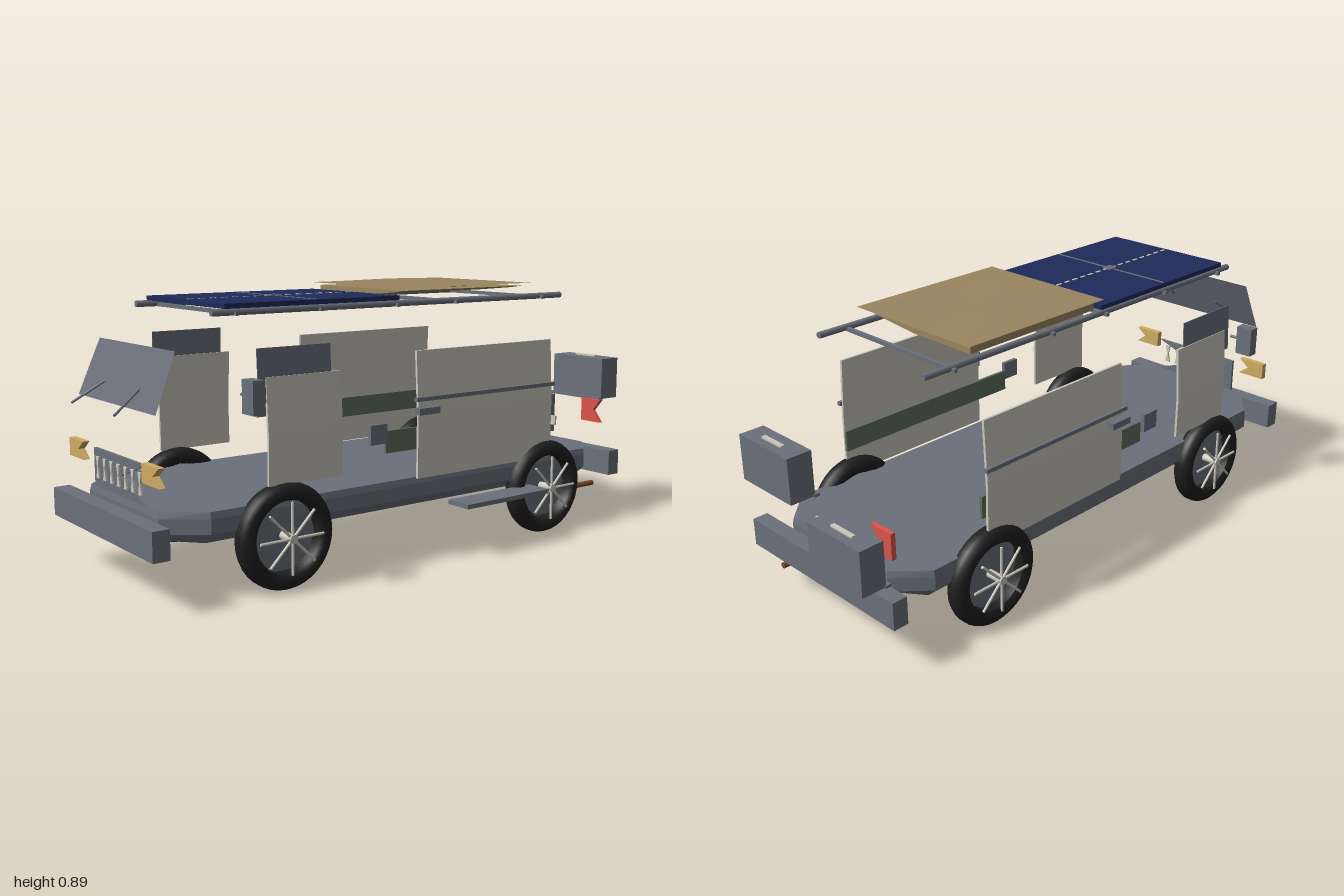
import * as THREE from 'three';
import { ConvexGeometry } from 'three/addons/geometries/ConvexGeometry.js';

const C = -0.016; // centre line of the van

export function createModel() {
  const root = new THREE.Group();
  root.name = 'explodedCamperVan';
  const mat = (name, color, side = THREE.FrontSide) => {
    const m = new THREE.MeshStandardMaterial({ color, side });
    m.name = name;
    return m;
  };
  const grey = mat('bodyGrey', 0x6a707a, THREE.DoubleSide);
  const beige = mat('panelBeige', 0xccc8bc, THREE.DoubleSide);
  const navy = mat('solarNavy', 0x1f2a5a);
  const tan = mat('roofTan', 0x9a8560, THREE.DoubleSide);
  const black = mat('tyreBlack', 0x1e1e1f);
  const amber = mat('lampAmber', 0xd0ab62);
  const red = mat('lampRed', 0xdb544b);
  const green = mat('trimGreen', 0x5d705c);
  const brown = mat('exhaustBrown', 0x7a4a28);

  const add = (name, geo, material, parent = root) => {
    const mesh = new THREE.Mesh(geo, material);
    mesh.name = name;
    parent.add(mesh);
    return mesh;
  };
  // box from its limits on each axis
  const box = (name, m, x0, x1, y0, y1, z0, z1, parent = root) => {
    const b = add(name, new THREE.BoxGeometry(Math.abs(x1 - x0), y1 - y0, z1 - z0), m, parent);
    b.position.set((x0 + x1) / 2, (y0 + y1) / 2, (z0 + z1) / 2);
    return b;
  };
  // round bar between two points
  const rod = (name, m, a, b, r, parent = root) => {
    const A = new THREE.Vector3(...a), B = new THREE.Vector3(...b);
    const bar = add(name, new THREE.CylinderGeometry(r, r, A.distanceTo(B), 10), m, parent);
    bar.position.copy(A).add(B).multiplyScalar(0.5);
    bar.quaternion.setFromUnitVectors(new THREE.Vector3(0, 1, 0), B.sub(A).normalize());
    return bar;
  };
  // flat outline in x and y, extruded from z0 to z1
  const plate = (name, m, pts, z0, z1) => {
    const shape = new THREE.Shape(pts.map(p => new THREE.Vector2(...p)));
    const geo = new THREE.ExtrudeGeometry(shape, { depth: z1 - z0, bevelEnabled: false });
    return add(name, geo.translate(0, 0, z0), m);
  };
  const notched = (x0, x1, y0, y1, notch) =>
    [[x0, y0], [x1, y0], [x1 - notch, (y0 + y1) / 2], [x1, y1], [x0, y1]];

  // floor pan: chamfered outline, narrowing underneath
  const ring = (y, inset) => {
    const w = 0.327 - inset, n = 0.232 - inset, f = 0.91 - inset, b = -0.87 + inset;
    return [[w, 0.79], [n, f], [-n, f], [-w, 0.79], [-w, -0.77], [-n, b], [n, b], [w, -0.77]]
      .map(([x, z]) => new THREE.Vector3(C + x, y, z));
  };
  add('floorPan', new ConvexGeometry([...ring(0.276, 0.004), ...ring(0.255, 0), ...ring(0.21, 0), ...ring(0.178, 0.035)]), grey);
  box('frontBumper', grey, -0.359, 0.327, 0.163, 0.254, 0.93, 0.985);
  box('rearBumper', grey, -0.359, 0.327, 0.163, 0.254, -0.942, -0.89);

  // wheels
  const tyre = new THREE.LatheGeometry([
    [0.113, -0.024], [0.128, -0.034], [0.147, -0.033], [0.16, -0.022], [0.165, -0.01],
    [0.165, 0.01], [0.16, 0.022], [0.147, 0.033], [0.128, 0.034], [0.113, 0.024], [0.113, -0.024],
  ].map(p => new THREE.Vector2(...p)), 36).rotateZ(-Math.PI / 2);
  for (const s of [-1, 1]) for (const z of [0.545, -0.551]) {
    const wheel = new THREE.Group();
    wheel.name = 'wheel';
    wheel.position.set(C + s * 0.332, 0.168, z);
    wheel.scale.x = 1;
    root.add(wheel);
    add('tyre', tyre, black, wheel);
    rod('rimDisc', grey, [-s * 0.015, 0, 0], [-s * 0.008, 0, 0], 0.114, wheel).rotation.set(0, 0, Math.PI / 2);
    rod('axleStub', beige, [-s * 0.05, 0, 0], [s * 0.054, 0, 0], 0.014, wheel);
    for (let i = 0; i < 8; i++) {
      const a = i * Math.PI / 4;
      rod('spoke', beige, [s * 0.045, 0, 0], [s * 0.045, 0.112 * Math.cos(a), 0.112 * Math.sin(a)], 0.0045, wheel);
    }
  }

  // body side skin with a fold at the waist, given as an x-y section run along z
  const skin = (name, s, y0, y1, z0, z1) => {
    const x = o => C + s * o;
    plate(name, beige, [[x(0.335), y0], [x(0.344), y0], [x(0.346), 0.48], [x(0.334), y1], [x(0.325), y1], [x(0.337), 0.48]], z0, z1);
  };
  for (const s of [-1, 1]) {
    const x = o => C + s * o;
    skin('sidePanel', s, 0.275, 0.69, -0.572, 0.037);
    skin('frontDoor', s, 0.327, 0.65, 0.337, 0.604);
    plate('doorWindow', grey, [[x(0.332), 0.575], [x(0.335), 0.575], [x(0.327), 0.735], [x(0.324), 0.735]], 0.37, 0.63);
    box('slidingRail', grey, x(0.341), x(0.354), 0.528, 0.541, -0.58, 0.05);
    box('panelHandle', grey, x(0.344), x(0.368), 0.486, 0.508, -0.035, 0.05);
    box('innerTrim', green, x(0.318), x(0.328), 0.37, 0.442, -0.58, 0.155);
    box('latchBlock', grey, x(0.326), x(0.34), 0.405, 0.468, 0.16, 0.225);
    box('doorMirror', grey, x(0.35), x(0.41), 0.555, 0.655, 0.658, 0.695);
    rod('mirrorArm', grey, [x(0.315), 0.605, 0.675], [x(0.352), 0.605, 0.675], 0.005);
  }
  box('sideStep', grey, 0.33, 0.425, 0.172, 0.187, -0.47, -0.095);

  // windscreen and wipers
  const glass = new THREE.BufferGeometry();
  glass.setAttribute('position', new THREE.Float32BufferAttribute([
    -0.278, 0.56, 0.922, 0.245, 0.56, 0.922, 0.233, 0.735, 0.85, -0.265, 0.735, 0.85], 3));
  glass.setIndex([0, 1, 2, 0, 2, 3]);
  glass.computeVertexNormals();
  add('windscreen', glass, grey);
  for (const s of [-1, 1])
    rod('wiper', grey, [C + s * 0.15, 0.553, 0.995], [C + s * 0.105, 0.638, 0.865], 0.004);

  // front grille with hourglass slats
  plate('grille', grey, notched(-0.194, 0.158, 0.28, 0.402, 0.172), 0.905, 0.915);
  for (let i = 0; i < 7; i++) {
    const x = -0.16 + i * 0.048, y = 0.344;
    plate('grilleSlat', beige, [[x - 0.01, y - 0.034], [x + 0.01, y - 0.034], [x + 0.003, y],
      [x + 0.01, y + 0.034], [x - 0.01, y + 0.034], [x - 0.003, y]], 0.915, 0.921);
  }

  // lamps
  for (const x of [-0.323, 0.183])
    plate('headlamp', amber, notched(x, x + 0.104, 0.36, 0.418, 0.038), 0.918, 0.94);
  for (const x of [-0.314, 0.19])
    plate('tailLamp', red, notched(x, x + 0.09, 0.355, 0.44, 0.035), -0.9, -0.884);

  // rear storage boxes, number plate and exhaust
  for (const [x, y0, y1] of [[-0.293, 0.265, 0.416], [0.02, 0.44, 0.59]]) {
    box('rearBox', grey, x, x + 0.242, y0, y1, -0.995, -0.91);
    box('boxLip', grey, x - 0.004, x + 0.246, y0 - 0.003, y0 + 0.006, -0.915, -0.895);
    box('boxHandle', beige, x + 0.072, x + 0.17, y1, y1 + 0.006, -0.965, -0.95);
  }
  box('rearPlate', beige, -0.08, 0.055, 0.315, 0.35, -0.893, -0.885);
  rod('exhaustPipe', brown, [0.226, 0.113, -0.71], [0.226, 0.113, -0.915], 0.01);

  // roof rack
  for (const s of [-1, 1])
    rod('rackRail', grey, [C + s * 0.24, 0.836, -0.711], [C + s * 0.24, 0.836, 0.727], 0.0105);
  for (const z of [-0.607, -0.2, 0.05, 0.35, 0.65])
    box('rackBar', grey, -0.278, 0.245, 0.826, 0.838, z - 0.006, z + 0.006);

  // solar panel with its seams
  box('solarPanel', navy, -0.26, 0.23, 0.846, 0.861, 0.037, 0.686);
  box('crossSeam', grey, -0.255, 0.225, 0.861, 0.8625, 0.358, 0.366);
  for (let i = 0; i < 16; i++)
    box('seamDash', beige, C - 0.004, C + 0.004, 0.861, 0.863, 0.05 + i * 0.04, 0.072 + i * 0.04);
  box('seamHub', grey, C - 0.018, C + 0.018, 0.861, 0.865, 0.344, 0.38);

  // rear roof: rippled sheet with an oval dent over a tapering skirt
  const sheet = new THREE.PlaneGeometry(0.51, 0.587, 40, 40).rotateX(-Math.PI / 2);
  sheet.translate(-0.015, 0.884, -0.2565);
  const p = sheet.attributes.position;
  for (let i = 0; i < p.count; i++) {
    const x = p.getX(i), z = p.getZ(i);
    const r = ((x - 0.117) / 0.1) ** 2 + ((z + 0.275) / 0.2) ** 2;
    const swell = 0.008 * Math.max(0, 1 - ((x + 0.15) / 0.12) ** 2) * Math.sin(Math.PI * (0.037 - z) / 0.587);
    p.setY(i, p.getY(i) + swell - 0.008 * Math.max(0, 1 - r));
  }
  sheet.computeVertexNormals();
  add('rearRoofSheet', sheet, tan);
  plate('rearRoofSkirt', tan, [[-0.25, 0.851], [0, 0.851], [0.16, 0.866], [0.22, 0.874], [-0.25, 0.874]], -0.525, 0.01);

  return root;
}
